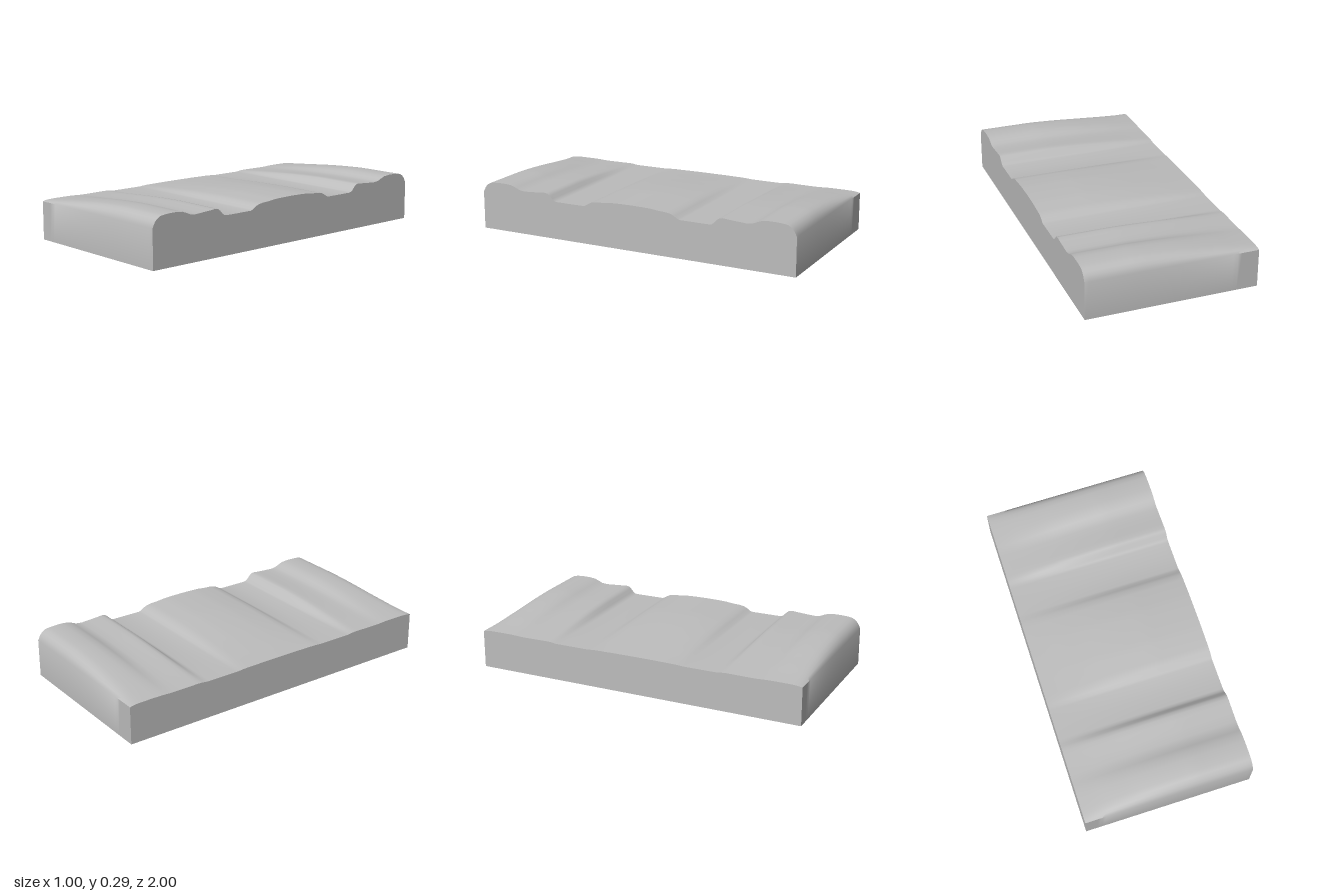
import * as THREE from 'three';
import { toCreasedNormals } from 'three/addons/utils/BufferGeometryUtils.js';

const BASE = 0.223;
// half of the mirrored ridge profile at the tall end: [z, height]
const HALF = [
  [1, 0.225], [0.985, 0.255], [0.97, 0.271], [0.95, 0.283], [0.92, 0.288], [0.88, 0.29],
  [0.84, 0.29], [0.8, 0.286], [0.77, 0.275], [0.745, 0.264], [0.71, 0.26], [0.66, 0.263],
  [0.6, 0.267], [0.57, 0.27], [0.55, 0.267], [0.535, 0.256], [0.52, 0.239], [0.505, 0.227],
  [0.49, 0.224], [0.4, 0.224], [0.31, 0.224], [0.295, 0.228], [0.275, 0.241], [0.255, 0.251],
  [0.22, 0.257], [0.17, 0.26], [0.13, 0.265], [0.08, 0.267],
];
const PROFILE = [...HALF, [0, 0.268], ...HALF.map(([z, y]) => [-z, y]).reverse()];

// how strongly the ridges rise, from the low end (-x) to the tall end (+x)
const RISE = new THREE.SplineCurve([
  [-0.5, 0.13], [-0.4, 0.27], [-0.3, 0.43], [-0.2, 0.58], [-0.1, 0.73],
  [0, 0.85], [0.1, 0.94], [0.2, 1], [0.35, 1], [0.5, 1],
].map(([x, a]) => new THREE.Vector2(x, a)));

// cross-section loop: front foot, ridged top, back foot
function section({ x, y: rise }) {
  const top = PROFILE.map(([z, y]) => [x, BASE + (y - BASE) * Math.min(rise, 1), z]);
  return [[x, 0, 1], ...top, [x, 0, -1]];
}

function buildSlab() {
  const sections = RISE.getPoints(36).map(section);
  const out = [];
  const quad = (a, b, c, d) => out.push(...a, ...b, ...c, ...a, ...c, ...d);

  // front wall, ridged top, back wall and underside
  for (let i = 0; i < sections.length - 1; i++) {
    const p = sections[i], q = sections[i + 1], n = p.length;
    for (let j = 0; j < n; j++) {
      const k = (j + 1) % n;
      quad(p[j], q[j], q[k], p[k]);
    }
  }
  // end walls, as upright strips under the profile
  const foot = ([x, , z]) => [x, 0, z];
  const low = sections[0], high = sections[sections.length - 1];
  for (let j = 1; j < low.length - 2; j++) {
    quad(foot(low[j + 1]), foot(low[j]), low[j], low[j + 1]);
    quad(foot(high[j]), foot(high[j + 1]), high[j + 1], high[j]);
  }

  const geometry = new THREE.BufferGeometry();
  geometry.setAttribute('position', new THREE.Float32BufferAttribute(out, 3));
  return toCreasedNormals(geometry, Math.PI / 3);
}

export function createModel() {
  const grey = new THREE.MeshStandardMaterial({ color: 0xbcbcbc });
  grey.name = 'plain grey';
  const slab = new THREE.Mesh(buildSlab(), grey);
  slab.name = 'ridgedSlab';
  const model = new THREE.Group();
  model.name = 'taperedRidgeBlock';
  model.add(slab);
  return model;
}
